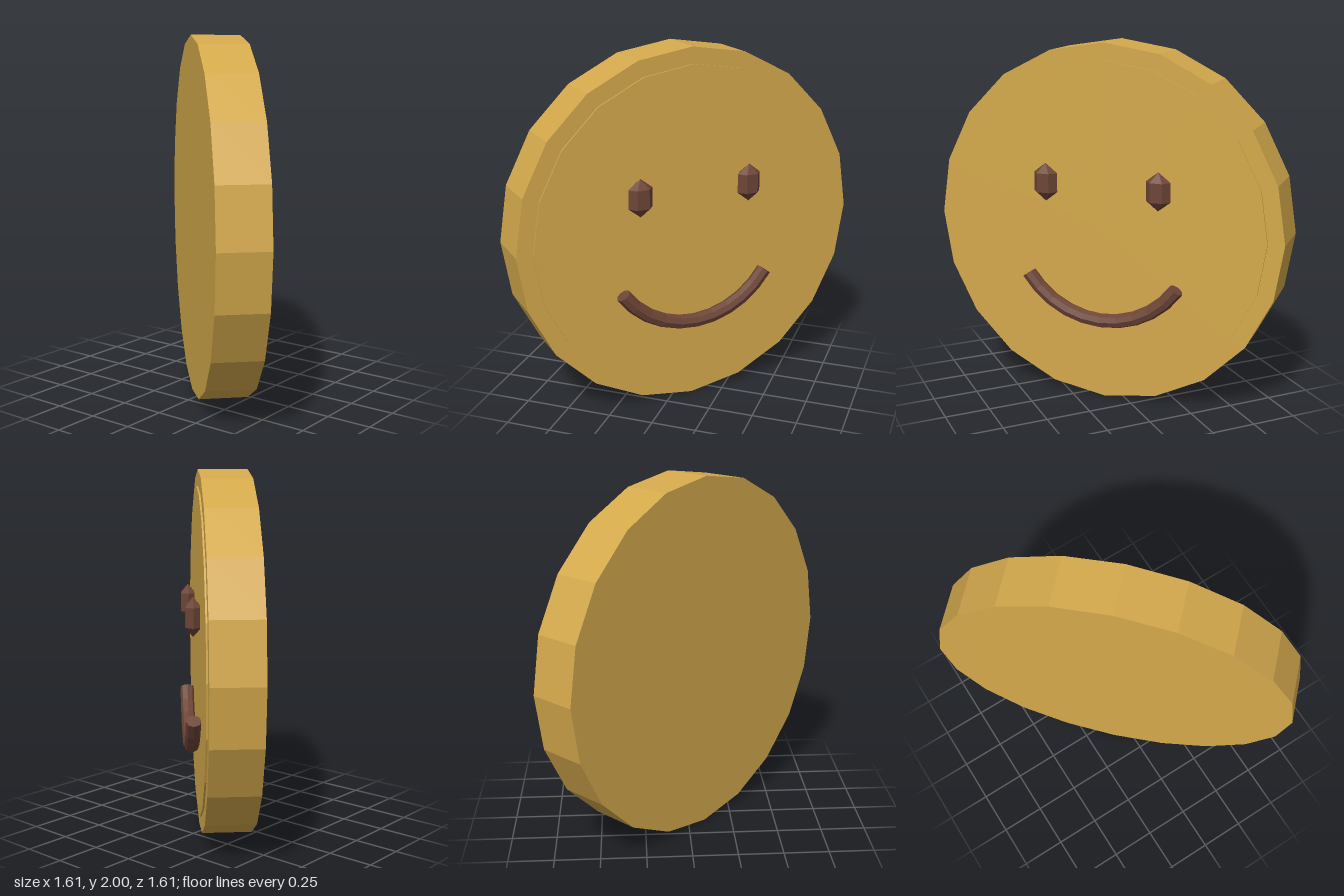
import * as THREE from 'three';

export function createModel() {
  const gold = new THREE.MeshStandardMaterial({ color: 0xd4a94c, flatShading: true });
  gold.name = 'gold';
  const brown = new THREE.MeshStandardMaterial({ color: 0x6d4537, flatShading: true });
  brown.name = 'brown';

  const model = new THREE.Group();
  model.name = 'smilingCoin';

  const add = (name, geometry, material, x, y, z) => {
    const mesh = new THREE.Mesh(geometry, material);
    mesh.name = name;
    mesh.position.set(x, y, z);
    model.add(mesh);
    return mesh;
  };
  const disc = (radius, depth) =>
    new THREE.CylinderGeometry(radius, radius, depth, 20).rotateX(Math.PI / 2);

  // Thick coin body and the slightly raised face plate
  const depth = 0.27, raise = 0.009;
  add('coinBody', disc(1, depth), gold, 0, 1, 0);
  add('facePlate', disc(0.91, raise), gold, 0, 1, (depth + raise) / 2);

  // Faceted eyes
  for (const side of [-1, 1]) {
    const eye = new THREE.SphereGeometry(1, 6, 3).scale(0.079, 0.106, 0.055);
    add(side > 0 ? 'leftEye' : 'rightEye', eye, brown, side * 0.325, 1.238, 0.179);
  }

  // Smile: an arc of tube, closed by a cap at each end
  const R = 0.526, r = 0.041, half = 0.975, smileZ = 0.183;
  const smile = new THREE.TorusGeometry(R, r, 8, 10, half * 2).rotateZ(-Math.PI / 2 - half);
  add('smile', smile, brown, 0, 1.001, smileZ);
  for (const side of [-1, 1]) {
    const cap = new THREE.CircleGeometry(r, 8).rotateX(-Math.PI / 2);
    if (side < 0) cap.rotateX(Math.PI);
    cap.translate(R, 0, 0).rotateZ(-Math.PI / 2 + side * half);
    add(side > 0 ? 'smileLeftEnd' : 'smileRightEnd', cap, brown, 0, 1.001, smileZ);
  }

  // The coin is turned an eighth of a circle
  model.rotation.y = Math.PI / 4;
  const root = new THREE.Group();
  root.name = 'coin';
  root.add(model);
  return root;
}
